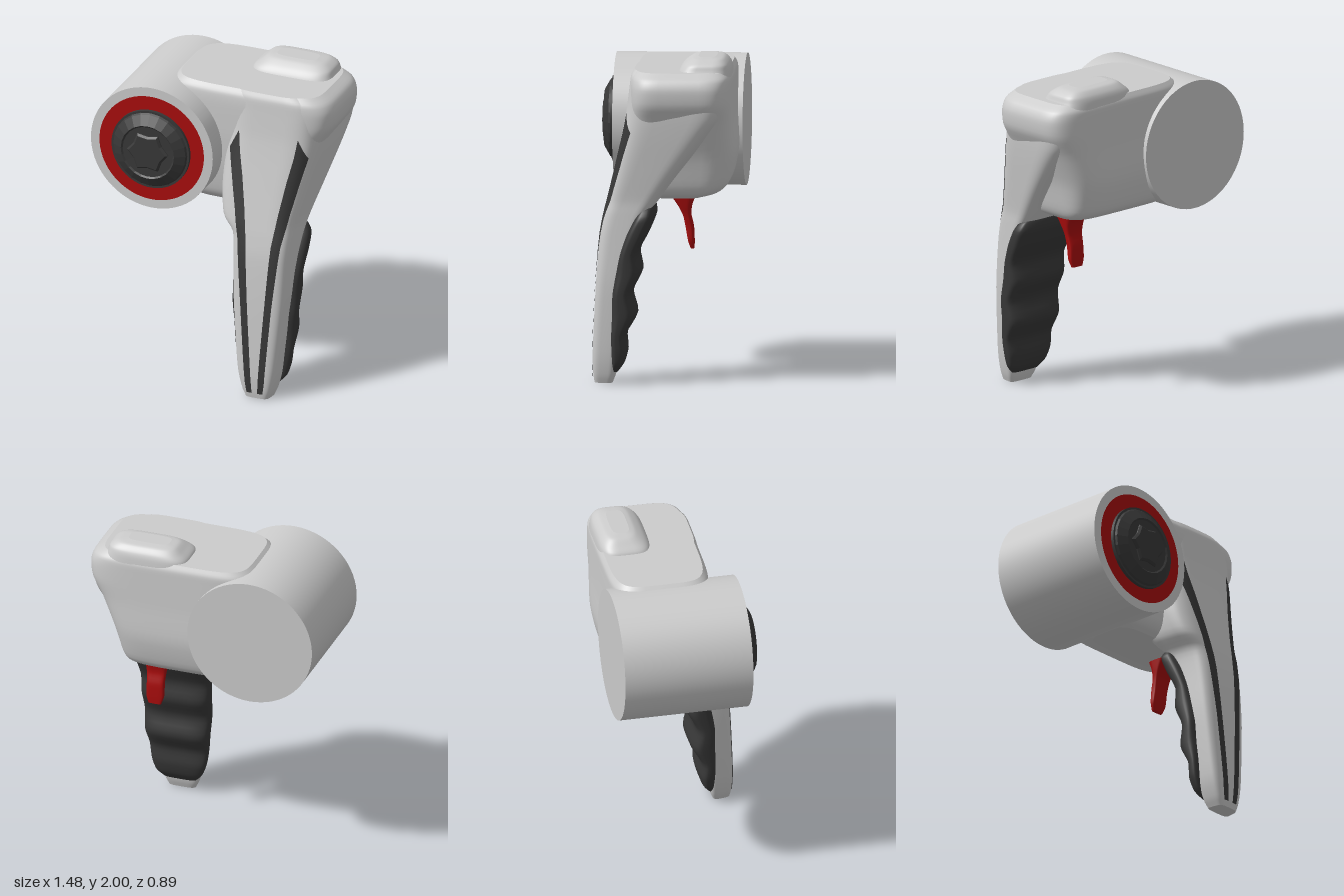
import * as THREE from 'three';

const material = (color) => new THREE.MeshStandardMaterial({ color, side: THREE.DoubleSide });
const grey = material(0xcccccc);
const dark = material(0x383838);
const red = material(0xa80c0c);

// Smooth loft through rows of [y, xMin, xMax, zFront, zBack];
// n = squareness of the section, taper = how much its front narrows.
function loft(rows, { n = 4, taper = 0, steps = 4, segs = 64 } = {}) {
  const xs = new THREE.CatmullRomCurve3(rows.map((r) => new THREE.Vector3(r[1], r[0], r[2])), false, 'catmullrom', 0.4);
  const zs = new THREE.CatmullRomCurve3(rows.map((r) => new THREE.Vector3(r[3], r[0], r[4])), false, 'catmullrom', 0.4);
  const count = (rows.length - 1) * steps;
  const pos = [], idx = [];
  const power = (v) => Math.sign(v) * Math.pow(Math.abs(v), 2 / n);
  const ring = (t) => {
    const a = xs.getPoint(t), b = zs.getPoint(t);
    for (let j = 0; j < segs; j++) {
      const ang = (j / segs) * Math.PI * 2;
      const w = power(Math.sin(ang));
      const u = power(Math.cos(ang)) * (1 - taper * (w + 1) / 2);
      pos.push((a.x + a.z) / 2 + u * (a.z - a.x) / 2, a.y, (b.x + b.z) / 2 + w * (b.x - b.z) / 2);
    }
    return [(a.x + a.z) / 2, a.y, (b.x + b.z) / 2];
  };
  for (let i = 0; i <= count; i++) ring(i / count);
  for (let i = 0; i < count; i++) {
    for (let j = 0; j < segs; j++) {
      const a = i * segs + j, b = i * segs + (j + 1) % segs;
      idx.push(a, a + segs, b, b, a + segs, b + segs);
    }
  }
  // end caps with their own vertices
  for (const t of [0, 1]) {
    const start = pos.length / 3;
    pos.push(...ring(t));
    const c = start + segs;
    for (let j = 0; j < segs; j++) {
      const a = start + j, b = start + (j + 1) % segs;
      if (t) idx.push(c, b, a); else idx.push(c, a, b);
    }
  }
  const g = new THREE.BufferGeometry();
  g.setAttribute('position', new THREE.Float32BufferAttribute(pos, 3));
  g.setIndex(idx);
  g.computeVertexNormals();
  return g;
}

export function createModel() {
  const model = new THREE.Group();
  const add = (name, geometry, mat, parent = model) => {
    const mesh = new THREE.Mesh(geometry, mat);
    mesh.name = name;
    parent.add(mesh);
    return mesh;
  };

  // Handle flaring upward into the body
  const handle = add('handle', loft([
    [0, 0.28, 0.46, 0.43, 0.32],
    [0.06, 0.25, 0.485, 0.438, 0.30],
    [0.2, 0.215, 0.515, 0.44, 0.28],
    [0.6, 0.172, 0.56, 0.42, 0.23],
    [0.9, 0.153, 0.575, 0.395, 0.16],
    [1.04, 0.13, 0.585, 0.37, 0.1],
    [1.13, 0.05, 0.6, 0.35, 0.03],
    [1.3, 0.01, 0.645, 0.31, -0.1],
    [1.5, 0, 0.695, 0.265, -0.26],
    [1.65, 0, 0.725, 0.235, -0.37],
    [1.8, 0, 0.737, 0.215, -0.4],
    [1.88, 0, 0.71, 0.205, -0.39],
    [1.92, 0.02, 0.64, 0.185, -0.36],
  ], { n: 4.5, taper: 0.2 }), grey);

  // Housing joining the handle to the barrel
  add('housing', loft([
    [1.13, -0.2, 0.45, 0.1, -0.22],
    [1.16, -0.25, 0.5, 0.14, -0.32],
    [1.22, -0.29, 0.53, 0.17, -0.38],
    [1.4, -0.32, 0.575, 0.2, -0.42],
    [1.6, -0.33, 0.66, 0.21, -0.413],
    [1.72, -0.33, 0.725, 0.21, -0.41],
    [1.82, -0.33, 0.735, 0.208, -0.408],
    [1.88, -0.32, 0.71, 0.2, -0.405],
    [1.92, -0.28, 0.65, 0.175, -0.385],
  ], { n: 5 }), grey);

  // Raised pad on the top rear
  add('topPad', loft([
    [1.86, 0.08, 0.64, -0.06, -0.405],
    [1.925, 0.1, 0.61, -0.09, -0.398],
    [1.96, 0.14, 0.595, -0.12, -0.385],
    [1.99, 0.18, 0.55, -0.165, -0.355],
    [2.0, 0.23, 0.49, -0.2, -0.31],
  ], { n: 4 }), grey);

  // Rubber grip with finger waves
  add('grip', loft([
    [0.07, 0.27, 0.47, 0.32, 0.285],
    [0.12, 0.225, 0.515, 0.325, 0.25],
    [0.2, 0.195, 0.54, 0.33, 0.23],
    [0.3, 0.18, 0.555, 0.33, 0.235],
    [0.42, 0.165, 0.57, 0.33, 0.172],
    [0.55, 0.155, 0.578, 0.325, 0.2],
    [0.68, 0.147, 0.582, 0.31, 0.142],
    [0.8, 0.142, 0.588, 0.28, 0.158],
    [0.92, 0.125, 0.6, 0.24, 0.1],
    [1.02, 0.12, 0.6, 0.19, 0.06],
    [1.08, 0.17, 0.56, 0.15, 0.065],
    [1.1, 0.25, 0.48, 0.13, 0.08],
  ], { n: 3.2 }), dark);

  // Trigger
  add('trigger', loft([
    [0.82, 0.325, 0.405, -0.15, -0.172],
    [0.87, 0.31, 0.42, -0.134, -0.172],
    [0.95, 0.31, 0.42, -0.12, -0.168],
    [1.02, 0.305, 0.425, -0.105, -0.152],
    [1.08, 0.295, 0.435, -0.075, -0.158],
    [1.15, 0.285, 0.445, -0.025, -0.185],
  ], { n: 4 }), red);

  // Two inlaid stripes on the front, laid onto the handle surface: [y, offset out, offset in]
  const stripeRows = [
    [1.67, 0.193, 0.192], [1.55, 0.252, 0.175], [1.4, 0.217, 0.143], [1.2, 0.174, 0.109],
    [1, 0.139, 0.082], [0.6, 0.101, 0.056], [0.3, 0.078, 0.035], [0.1, 0.062, 0.022], [0.035, 0.052, 0.018],
  ];
  const ray = new THREE.Raycaster();
  const surfaceZ = (x, y) => {
    ray.set(new THREE.Vector3(x, y, 2), new THREE.Vector3(0, 0, -1));
    const hit = ray.intersectObject(handle)[0];
    return (hit ? hit.point.z : 0.2) + 0.005;
  };
  handle.updateMatrixWorld();
  for (const side of [-1, 1]) {
    const pos = [], idx = [], across = 4, sub = 5;
    const total = (stripeRows.length - 1) * sub;
    for (let i = 0; i <= total; i++) {
      const k = Math.min(Math.floor(i / sub), stripeRows.length - 2), f = i / sub - k;
      const [y, outer, inner] = stripeRows[k].map((v, m) => THREE.MathUtils.lerp(v, stripeRows[k + 1][m], f));
      for (let j = 0; j <= across; j++) {
        const x = 0.367 + side * THREE.MathUtils.lerp(outer, inner, j / across);
        pos.push(x, y, surfaceZ(x, y));
        if (i < total && j < across) {
          const a = i * (across + 1) + j, b = a + across + 1;
          if (side < 0) idx.push(a, b, a + 1, a + 1, b, b + 1);
          else idx.push(a, a + 1, b, a + 1, b + 1, b);
        }
      }
    }
    const g = new THREE.BufferGeometry();
    g.setAttribute('position', new THREE.Float32BufferAttribute(pos, 3));
    g.setIndex(idx);
    g.computeVertexNormals();
    add(side < 0 ? 'rightStripe' : 'leftStripe', g, dark);
  }

  // Barrel with its coloured ring and front knob
  const barrel = new THREE.Group();
  barrel.name = 'barrelAssembly';
  barrel.position.set(-0.345, 1.505, 0);
  model.add(barrel);
  add('barrel', new THREE.CylinderGeometry(0.4, 0.4, 0.79, 72).rotateX(Math.PI / 2).translate(0, 0, -0.045), grey, barrel);
  add('frontRing', new THREE.RingGeometry(0.24, 0.343, 72).translate(0, 0, 0.353), red, barrel);
  add('knobBase', new THREE.CylinderGeometry(0.255, 0.255, 0.025, 64).rotateX(Math.PI / 2).translate(0, 0, 0.361), dark, barrel);

  // Faceted knob with a recessed face
  const profile = [[0.245, 0.37], [0.235, 0.385], [0.175, 0.42], [0.165, 0.412], [0, 0.408]]
    .map(([r, z]) => new THREE.Vector2(r, z));
  const knob = new THREE.LatheGeometry(profile, 24).rotateX(Math.PI / 2).toNonIndexed();
  knob.computeVertexNormals();
  add('knob', knob, dark, barrel);

  // Six-pointed boss in the middle of the knob
  const star = new THREE.Shape();
  for (let i = 0; i < 12; i++) {
    const a = (i / 12) * Math.PI * 2 + Math.PI / 6, r = i % 2 ? 0.105 : 0.135;
    star[i ? 'lineTo' : 'moveTo'](Math.sin(a) * r, Math.cos(a) * r);
  }
  add('knobBoss', new THREE.ExtrudeGeometry(star, {
    depth: 0.008, bevelThickness: 0.012, bevelSize: 0.012, bevelOffset: -0.012, bevelSegments: 1,
  }).translate(0, 0, 0.41), dark, barrel);

  return model;
}
